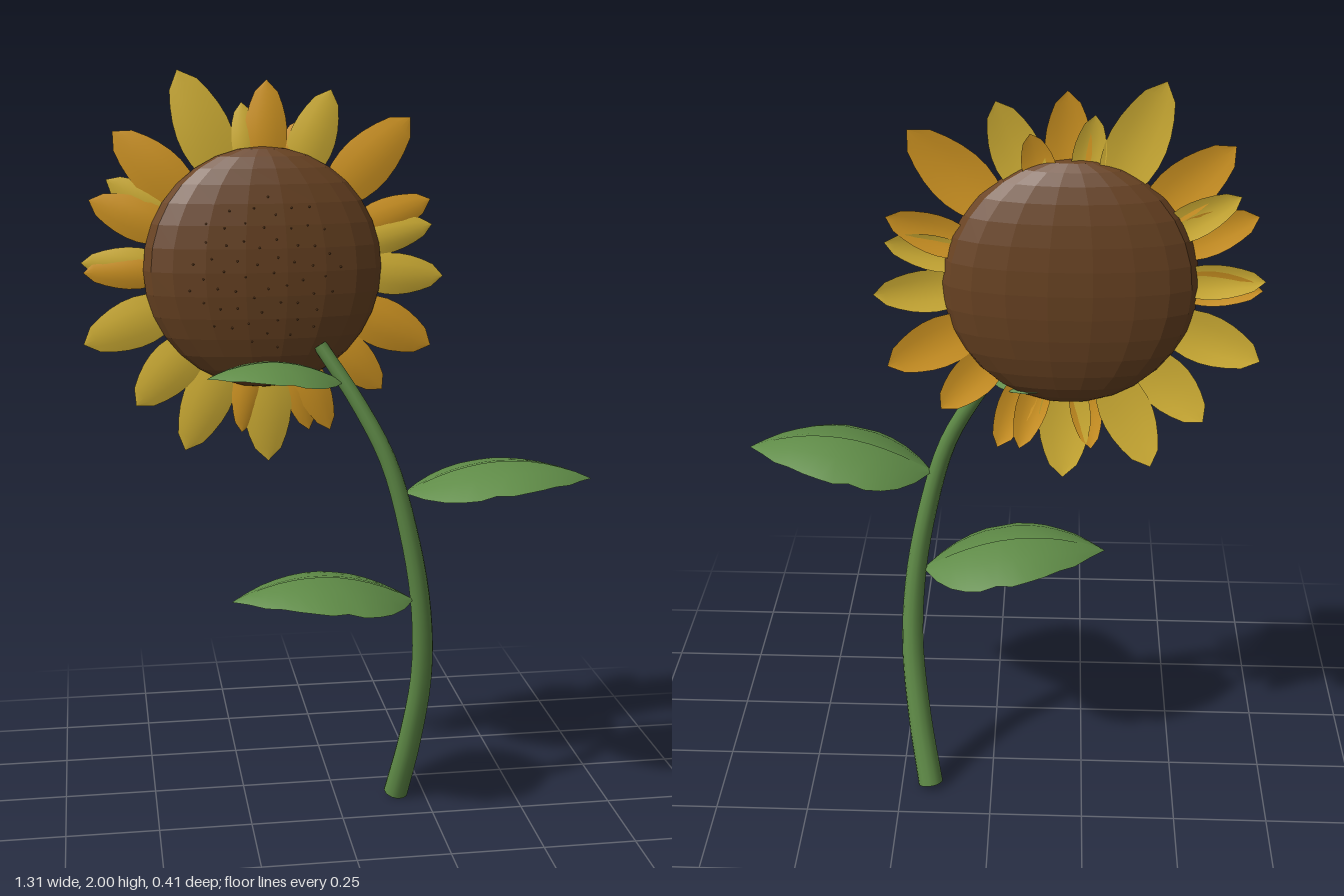
import * as THREE from 'three';

const mat = (name, color, extra = {}) => {
  const m = new THREE.MeshStandardMaterial({ color, ...extra });
  m.name = name;
  return m;
};

// Surface over a rows x cols grid; point(u, v) gives [x, y, z]
function sheet(rows, cols, point) {
  const pos = [], idx = [];
  for (let i = 0; i <= rows; i++)
    for (let j = 0; j <= cols; j++) pos.push(...point(i / rows, j / cols));
  for (let i = 0; i < rows; i++)
    for (let j = 0; j < cols; j++) {
      const a = i * (cols + 1) + j, b = a + cols + 1;
      idx.push(a, a + 1, b, b, a + 1, b + 1);
    }
  const g = new THREE.BufferGeometry();
  g.setAttribute('position', new THREE.Float32BufferAttribute(pos, 3));
  g.setIndex(idx);
  g.computeVertexNormals();
  return g;
}

// Tapered stem swept along a curve, with closed ends
function stemGeometry(curve, r0, r1) {
  const rows = 28, sides = 12;
  const g = new THREE.TubeGeometry(curve, rows, 1, sides, false);
  const p = g.attributes.position, v = new THREE.Vector3();
  for (let i = 0; i <= rows; i++) {
    const c = curve.getPointAt(i / rows), r = r0 + (r1 - r0) * i / rows;
    for (let j = 0; j <= sides; j++) {
      const k = i * (sides + 1) + j;
      v.fromBufferAttribute(p, k).sub(c).multiplyScalar(r).add(c);
      p.setXYZ(k, v.x, v.y, v.z);
    }
  }
  return g;
}

// Leaf growing along +x: arched midrib, drooping scalloped edges, narrow groove
function leafGeometry() {
  const halfWidth = [0, 0.075, 0.125, 0.155, 0.17, 0.163, 0.172, 0.16, 0.142, 0.115, 0.09, 0.045, 0];
  const across = [-1, -0.55, -0.04, 0, 0.04, 0.55, 1];
  return sheet(12, 6, (u, v) => {
    const w = halfWidth[Math.round(u * 12)], s = across[Math.round(v * 6)];
    const groove = s === 0 ? 0.006 * Math.sin(Math.PI * u) : 0;
    const y = 0.035 * u + 0.27 * u * (1 - u) - 0.05 * s * s * (w / 0.17) - groove;
    return [0.49 * u, y, 0.055 * u + w * s];
  });
}

// Pointed, slightly cupped petal along +y
function petalGeometry(length, width) {
  return sheet(8, 4, (u, v) => {
    const s = v * 2 - 1;
    const w = width / 2 * Math.pow(Math.sin(Math.PI * Math.pow(u, 0.85) * 0.94 + 0.19 * (1 - u)), 0.8) * (u === 1 ? 0 : 1);
    return [-w * s, length * u, -0.012 * u + 0.008 * (1 - s * s) * Math.sin(Math.PI * u)];
  });
}

export function createModel() {
  const root = new THREE.Group();
  root.name = 'sunflower';
  const green = mat('leaf green', 0x5f8b47, { side: THREE.DoubleSide });
  const brown = mat('seed brown', 0x6b4423, { flatShading: true });
  const yellow = mat('petal yellow', 0xe2be3a, { side: THREE.DoubleSide });
  const orange = mat('petal orange', 0xe2a226, { side: THREE.DoubleSide });
  const add = (parent, name, geo, m) => {
    const mesh = new THREE.Mesh(geo, m);
    mesh.name = name;
    parent.add(mesh);
    return mesh;
  };

  // Stem
  const path = new THREE.CatmullRomCurve3([
    [0.17, 0.008, -0.13], [0.2, 0.19, -0.08], [0.22, 0.4, -0.03], [0.21, 0.6, 0],
    [0.175, 0.8, 0.01], [0.12, 1.0, 0], [0.045, 1.15, -0.03], [-0.05, 1.3, -0.072],
  ].map(p => new THREE.Vector3(...p)));
  add(root, 'stem', stemGeometry(path, 0.034, 0.018), green);
  [[0, 0.034, -1], [1, 0.018, 1]].forEach(([t, r, dir]) => {
    const cap = add(root, 'stemEnd', new THREE.CircleGeometry(r, 12), green);
    cap.position.copy(path.getPointAt(t));
    cap.quaternion.setFromUnitVectors(new THREE.Vector3(0, 0, 1), path.getTangentAt(t).multiplyScalar(dir));
  });

  // Leaves: base x, y, z, side, scale
  const leaf = leafGeometry();
  [[0.16, 0.915, 0.005, 1, 1], [0.19, 0.62, 0.005, -1, 1], [0.01, 1.205, -0.045, -1, 0.735]]
    .forEach(([x, y, z, side, k]) => {
      const m = add(root, 'leaf', leaf, green);
      m.position.set(x, y, z);
      m.scale.set(side * k, k, k);
    });

  // Flower head
  const head = new THREE.Group();
  head.name = 'flowerHead';
  head.position.set(-0.19, 1.495, -0.12);
  root.add(head);
  add(head, 'disc', new THREE.SphereGeometry(1, 18, 16), brown).scale.set(0.308, 0.31, 0.09);

  // Small seeds on the front of the disc
  const seed = new THREE.ConeGeometry(0.005, 0.014, 5).rotateX(Math.PI / 2);
  for (let i = 0; i < 60; i++) {
    const r = 0.2 * Math.sqrt((i + 0.5) / 60), a = i * 2.39996;
    const z = 0.09 * Math.sqrt(1 - (r / 0.308) ** 2);
    add(head, 'seed', seed, brown).position.set(r * Math.cos(a), r * Math.sin(a), z);
  }

  // Petals: tip x, tip y, width, colour
  const Y = yellow, O = orange;
  const petals = [
    [-0.40, 1.995, 0.14, Y], [-0.24, 1.915, 0.08, Y], [-0.175, 1.97, 0.11, O], [-0.09, 1.87, 0.08, O],
    [-0.01, 1.945, 0.12, Y], [0.195, 1.875, 0.14, O], [0.25, 1.665, 0.1, O], [0.255, 1.6, 0.09, Y],
    [0.285, 1.465, 0.11, Y], [0.255, 1.28, 0.13, O], [0.125, 1.165, 0.11, O], [-0.015, 1.06, 0.09, O],
    [-0.07, 1.06, 0.08, O], [-0.18, 0.98, 0.13, Y], [-0.25, 1.06, 0.08, O], [-0.4, 1.015, 0.13, Y],
    [-0.525, 1.14, 0.13, Y], [-0.655, 1.305, 0.13, Y], [-0.655, 1.515, 0.09, Y], [-0.65, 1.49, 0.09, O],
    [-0.63, 1.675, 0.11, O], [-0.585, 1.725, 0.09, Y], [-0.565, 1.845, 0.13, O],
  ];
  petals.forEach(([x, y, width, colour], i) => {
    const dx = x + 0.19, dy = y - 1.495, a = Math.atan2(dy, dx), r0 = 0.235;
    const m = add(head, 'petal', petalGeometry(Math.hypot(dx, dy) - r0, width), colour);
    m.position.set(r0 * Math.cos(a), r0 * Math.sin(a), -0.008 + (i % 3) * 0.003);
    m.rotation.z = a - Math.PI / 2;
  });
  return root;
}
